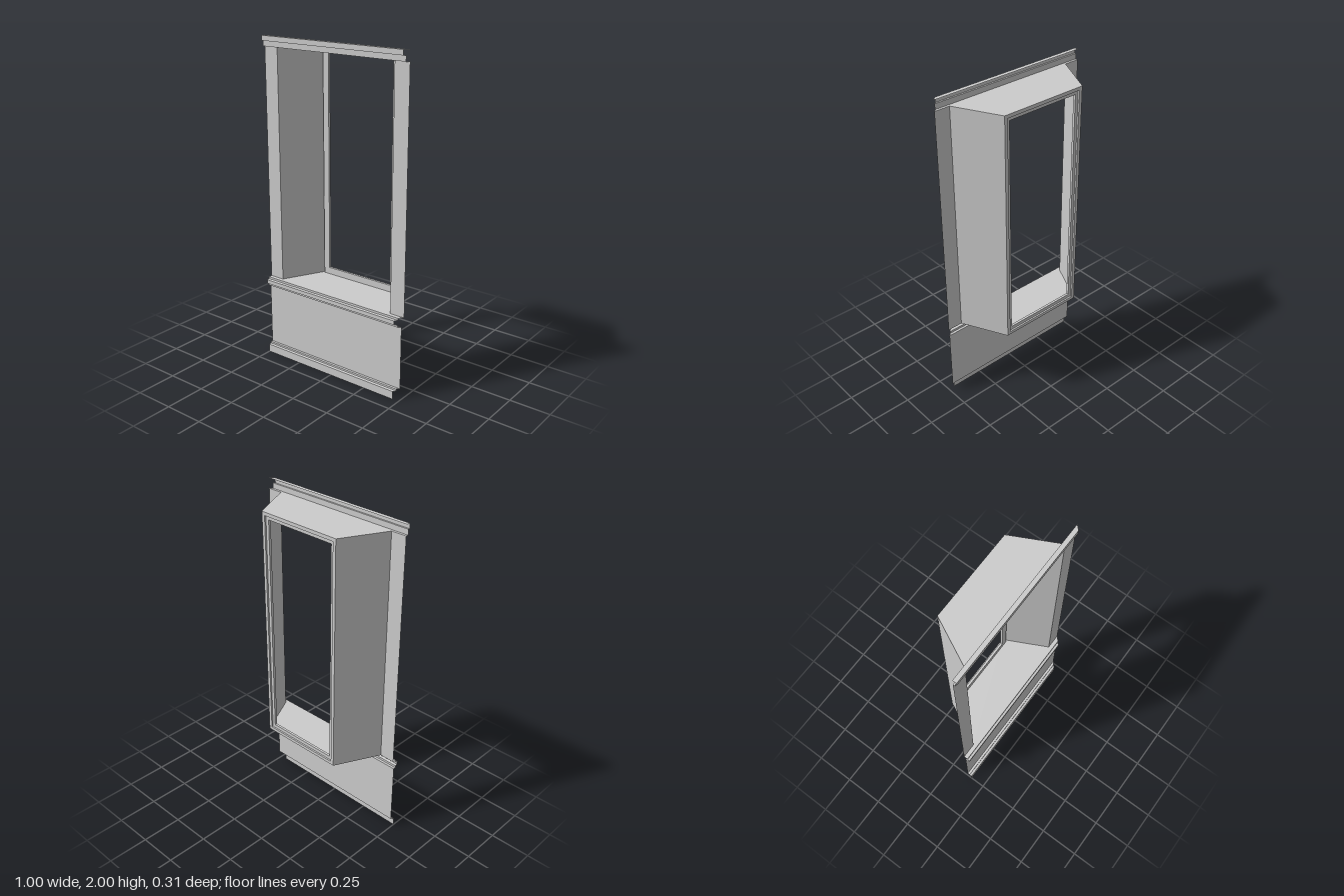
import * as THREE from 'three';

const material = new THREE.MeshStandardMaterial({ color: 0xcccccc, flatShading: true, side: THREE.DoubleSide });

const BOTTOM = 0.513, TOP = 1.938; // window bay height
const WALL = 0.115, BACK = -0.155; // wall plane and back of the bay
const OUTER = 0.405, INNER = 0.27; // half widths of the bay at wall and back

function addMesh(group, name, geometry) {
  const mesh = new THREE.Mesh(geometry, material);
  mesh.name = name;
  group.add(mesh);
  return mesh;
}

// Sheet made of four-cornered faces, corners anticlockwise seen from the front
function sheet(quads) {
  const positions = [];
  for (const [a, b, c, d] of quads) positions.push(...a, ...b, ...c, ...a, ...c, ...d);
  const geometry = new THREE.BufferGeometry();
  geometry.setAttribute('position', new THREE.Float32BufferAttribute(positions, 3));
  geometry.computeVertexNormals();
  return geometry;
}

// Open moulding: a [z, y] profile run along x, square at the left end and mitred at the other
function moulding(profile) {
  const start = ([z, y]) => [-0.5, y, z];
  const end = ([z, y]) => [0.615 - z, y, z];
  const quads = [];
  for (let i = 0; i < profile.length - 1; i++) {
    const p = profile[i], q = profile[i + 1];
    quads.push([start(p), start(q), end(q), end(p)]);
  }
  return sheet(quads);
}

// Rectangular ring, extruded in z
function ring(halfOuter, insetOuter, halfInner, insetInner, zBack, depth) {
  const rect = (path, half, inset) => {
    path.moveTo(-half, BOTTOM + inset);
    path.lineTo(half, BOTTOM + inset);
    path.lineTo(half, TOP - inset);
    path.lineTo(-half, TOP - inset);
    path.closePath();
    return path;
  };
  const shape = rect(new THREE.Shape(), halfOuter, insetOuter);
  shape.holes.push(rect(new THREE.Path(), halfInner, insetInner));
  const geometry = new THREE.ExtrudeGeometry(shape, { depth, bevelEnabled: false });
  return geometry.translate(0, 0, zBack);
}

export function createModel() {
  const model = new THREE.Group();
  model.name = 'windowBay';

  // Stepped cornice along the top
  addMesh(model, 'cornice', moulding([
    [WALL, 2], [0.14, 2], [0.14, 1.97], [0.13, 1.97], [0.13, TOP], [WALL, TOP],
  ]));

  // Sill, apron panel and base in one continuous profile
  addMesh(model, 'sill', moulding([
    [WALL, BOTTOM], [0.14, BOTTOM], [0.14, 0.5], [0.155, 0.497],
    [0.155, 0.473], [0.14, 0.47], [0.14, 0.456], [0.125, 0.456],
  ]));
  addMesh(model, 'apronPanel', moulding([[0.125, 0.456], [0.125, 0.064]]));
  addMesh(model, 'base', moulding([
    [0.125, 0.064], [0.14, 0.064], [0.14, 0.053], [0.155, 0.05], [0.155, 0],
  ]));

  // Flat strips and splayed reveals on both sides
  for (const [side, label] of [[1, 'left'], [-1, 'right']]) {
    const strip = new THREE.PlaneGeometry(0.5 - OUTER, TOP - BOTTOM);
    strip.translate(side * (0.5 + OUTER) / 2, (TOP + BOTTOM) / 2, WALL);
    addMesh(model, label + 'WallStrip', strip);

    const front = side * OUTER, back = side * INNER;
    const corners = [[back, BOTTOM, BACK], [front, BOTTOM, WALL], [front, TOP, WALL], [back, TOP, BACK]];
    if (side > 0) corners.reverse();
    addMesh(model, label + 'Reveal', sheet([corners]));
  }

  // Floor and ceiling of the bay
  for (const [y, label] of [[BOTTOM, 'bayFloor'], [TOP, 'bayCeiling']]) {
    const corners = [[-OUTER, y, WALL], [OUTER, y, WALL], [INNER, y, BACK], [-INNER, y, BACK]];
    if (y === TOP) corners.reverse();
    addMesh(model, label, sheet([corners]));
  }

  // Window frame with a raised rim at the back
  addMesh(model, 'windowFrame', ring(INNER, 0, 0.23, 0.042, -0.145, 0.015));
  addMesh(model, 'windowRim', ring(INNER, 0, 0.25, 0.02, BACK, 0.01));

  return model;
}
